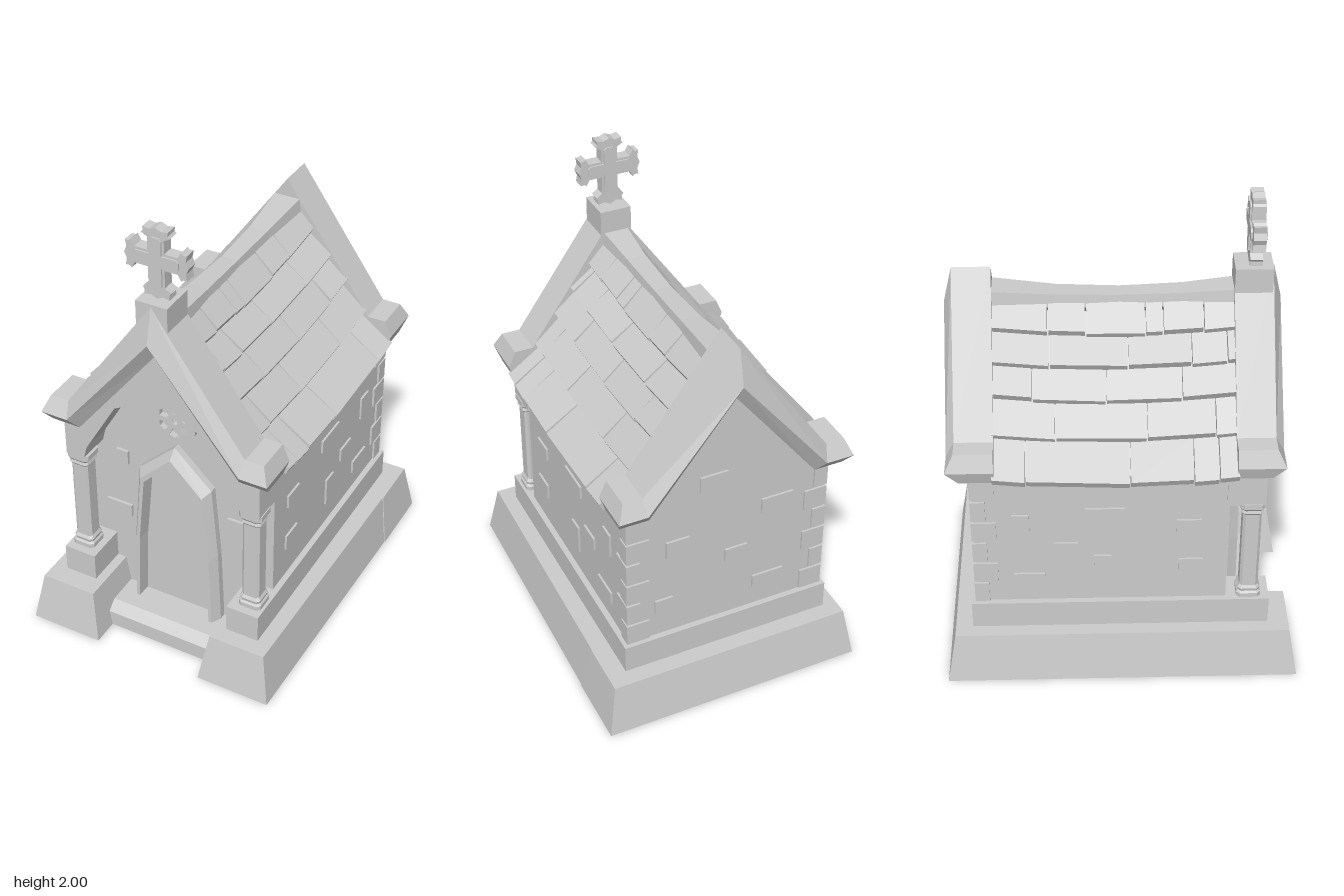
import * as THREE from 'three';

const CX = -0.013; // axis of the building above its base
const material = new THREE.MeshStandardMaterial({ color: 0xcccccc, flatShading: true });

function add(parent, name, geometry) {
  const mesh = new THREE.Mesh(geometry, material);
  mesh.name = name;
  parent.add(mesh);
  return mesh;
}

function box(parent, name, w, h, d, x, y, z) {
  const mesh = add(parent, name, new THREE.BoxGeometry(w, h, d));
  mesh.position.set(x, y, z);
}

// Solid skin over a row of matching rings of [x, y, z], closed at both ends
function loft(rings) {
  const n = rings[0].length, index = [];
  const p = rings.flat();
  for (let s = 0; s < rings.length - 1; s++) {
    for (let i = 0; i < n; i++) {
      const a = s * n + i, b = s * n + (i + 1) % n;
      index.push(a, b, b + n, a, b + n, a + n);
    }
  }
  const last = (rings.length - 1) * n;
  for (let i = 1; i < n - 1; i++) index.push(0, i + 1, i, last, last + i, last + i + 1);
  // turn the faces outward if the rings run the other way
  const [a, b, c] = [0, 1, 2].map(() => new THREE.Vector3());
  let volume = 0;
  for (let i = 0; i < index.length; i += 3) {
    a.fromArray(p[index[i]]); b.fromArray(p[index[i + 1]]); c.fromArray(p[index[i + 2]]);
    volume += a.dot(b.cross(c));
  }
  if (volume < 0) index.reverse();
  const g = new THREE.BufferGeometry();
  g.setAttribute('position', new THREE.Float32BufferAttribute(p.flat(), 3));
  g.setIndex(index);
  const flat = g.toNonIndexed();
  flat.computeVertexNormals();
  return flat;
}

// Battered block of the base; the front end of its outer side may be drawn in
function battered(x0, x1, z0, z1, x1Front = x1) {
  const ring = (y, k) => [[x0 + k, y, z0 + k], [x1 - k, y, z0 + k], [x1Front - k, y, z1 - k], [x0 + k, y, z1 - k]];
  return loft([ring(0, 0), ring(0.22, 0.038)]);
}

function slab(points, z0, z1, holes = []) {
  const shape = new THREE.Shape(points.map(([x, y]) => new THREE.Vector2(x, y)));
  shape.holes = holes;
  return new THREE.ExtrudeGeometry(shape, { depth: z1 - z0, bevelEnabled: false }).translate(0, 0, z0);
}

const mirrored = (half) => [...half, ...half.filter(([x]) => x > 0).reverse().map(([x, y]) => [-x, y])];

// Gable coping: a pointed-nose section swept over the gable with level kneelers at the eaves
function coping() {
  const group = new THREE.Group();
  group.name = 'gableCoping';
  const zs = [0.45, 0.45, 0.605, 0.64, 0.59, 0.45];
  const section = (top, mid, low) => [mid, top, top, mid, low, low].map(([x, y], i) => [x, y, zs[i]]);
  const apex = section([0, 1.69], [0, 1.54], [0, 1.46]);
  const kink = section([0.395, 1.13], [0.385, 1.06], [0.36, 1.0]);
  const end = section([0.475, 1.13], [0.505, 1.06], [0.485, 1.0]);
  const flip = (ring) => ring.map(([x, y, z]) => [-x, y, z]);
  add(group, 'copingStone', loft([flip(end), flip(kink), apex, kink, end]));
  add(group, 'copingBand', slab([[0.4, 1.0], [0, 1.5], [-0.4, 1.0], [-0.34, 1.0], [0, 1.39], [0.34, 1.0]], 0.45, 0.59));
  return group;
}

function buildRoof(parent) {
  const roof = new THREE.Group();
  roof.name = 'roof';
  parent.add(roof);
  const sag = (z) => -0.032 * (1 - (z / 0.5) ** 2);
  // ridge cap, narrowest and lowest in the middle
  add(roof, 'ridgeCap', loft([-0.52, -0.25, 0, 0.25, 0.47].map((z) => {
    const w = 0.036 + 0.08 * z * z, y = 1.607 + sag(z);
    return [[-w, y, z], [w, y, z], [w + 0.008, y - 0.055, z], [0, y - 0.1, z], [-w - 0.008, y - 0.055, z]];
  })));
  // courses of slabs, with the joints of each course along z
  const xs = [0.045, 0.115, 0.2, 0.277, 0.37, 0.497];
  const ys = [1.57, 1.455, 1.355, 1.245, 1.125, 1.0];
  const joints = [
    [0.33, 0.17, 0.1, -0.135, -0.285], [0.42, 0.28, 0.03, -0.28], [0.24, -0.06, -0.35],
    [0.37, 0.1, -0.26], [0.38, 0.28, 0.03, -0.38],
  ];
  for (const side of [-1, 1]) {
    joints.forEach((cuts, r) => {
      const zs = [0.46, ...cuts, -0.515];
      for (let k = 0; k < zs.length - 1; k++) {
        const lift = 0.005 * ((k * 2 + r) % 3 - 1);
        const ring = (z) => [
          [xs[r] - 0.01, ys[r] + 0.012], [xs[r + 1] + 0.012, ys[r + 1] + 0.033 + lift],
          [xs[r + 1] - 0.005, ys[r + 1] + lift], [xs[r] - 0.03, ys[r] - 0.03],
        ].map(([x, y]) => [side * x, y + sag(z), z]);
        add(roof, 'roofSlab', loft([ring(zs[k] - 0.003), ring(zs[k + 1] + 0.003)]));
      }
    });
  }
}

function buildCross(parent) {
  const cross = new THREE.Group();
  cross.name = 'finialCross';
  cross.position.set(0, 1.865, 0.53);
  parent.add(cross);
  const outline = (half) => {
    const arm = [...half, ...half.slice(0, -1).reverse().map(([u, v]) => [u, -v])];
    const pts = [];
    for (let q = 0; q < 4; q++) {
      const c = Math.round(Math.cos(q * Math.PI / 2)), s = Math.round(Math.sin(q * Math.PI / 2));
      for (const [u, v] of arm) {
        const k = q === 3 && u > 0.05 ? 1.22 : 1; // longer foot
        pts.push([c * u * k - s * v, s * u * k + c * v]);
      }
    }
    return pts;
  };
  add(cross, 'crossBody', slab(outline([[0.035, -0.035], [0.09, -0.035], [0.104, -0.06], [0.113, -0.052], [0.129, -0.053], [0.124, -0.025], [0.135, 0]]), -0.025, 0.025));
  add(cross, 'crossInlay', slab(outline([[0.025, -0.025], [0.086, -0.025], [0.096, -0.015], [0.096, 0]]), -0.032, 0.032));
}

export function createModel() {
  const model = new THREE.Group();
  model.name = 'stoneMausoleum';

  // battered base, open in the middle underneath and notched at the doorway
  const base = new THREE.Group();
  base.name = 'base';
  model.add(base);
  add(base, 'baseSide', battered(-0.57, -0.25, -0.735, 0.735));
  add(base, 'baseSide', battered(0.225, 0.565, -0.735, 0.72, 0.548));
  add(base, 'baseBack', battered(-0.57, 0.565, -0.735, -0.42));
  const stepRing = (y, z) => [[-0.28, y, 0.4], [0.255, y, 0.4], [0.255, y, z], [-0.28, y, z]];
  add(base, 'doorStep', loft([stepRing(0, 0.62), stepRing(0.07, 0.62), stepRing(0.1, 0.57)]));

  const chapel = new THREE.Group();
  chapel.name = 'chapel';
  chapel.position.x = CX;
  model.add(chapel);

  // walls, plinth and the front gable with its arch
  box(chapel, 'plinthBack', 0.92, 0.125, 0.16, 0, 0.2825, -0.545);
  add(chapel, 'walls', slab([[-0.435, 0.1], [0.435, 0.1], [0.435, 0.985], [0, 1.48], [-0.435, 0.985]], -0.6, 0.43));
  add(chapel, 'frontGable', slab([[0.36, 0.83], [0.443, 0.83], [0.443, 1.0], [0, 1.53], [-0.443, 1.0], [-0.443, 0.83],
    [-0.36, 0.83], [-0.345, 0.89], [-0.2, 1.14], [0, 1.25], [0.2, 1.14], [0.345, 0.89]], 0.42, 0.575));

  // square columns with chamfered corners, as [half width, height]
  const column = [[0.05, 0], [0.05, 0.02], [0.043, 0.028], [0.046, 0.042], [0.038, 0.055], [0.038, 0.43],
    [0.045, 0.44], [0.041, 0.452], [0.05, 0.465], [0.05, 0.49]];
  const columnRings = column.map(([r, y]) => [[1, 0.72], [0.72, 1], [-0.72, 1], [-1, 0.72], [-1, -0.72], [-0.72, -1], [0.72, -1], [1, -0.72]]
    .map(([x, z]) => [x * r, y, z * r]));
  // side stones as [z, y, depth, height]
  const sideStones = [[-0.07, 0.795, 0.16, 0.06], [0.27, 0.73, 0.1, 0.06], [-0.08, 0.515, 0.07, 0.13],
    [0.28, 0.52, 0.1, 0.07], [-0.23, 0.62, 0.1, 0.06], [-0.41, 0.74, 0.07, 0.11], [-0.38, 0.46, 0.13, 0.06]];
  for (const side of [-1, 1]) {
    box(chapel, 'plinthSide', 0.145, 0.125, 1.235, side * 0.3875, 0.2825, -0.0075);
    add(chapel, 'column', loft(columnRings)).position.set(side * 0.397, 0.345, 0.525);
    for (const [z, y, d, h] of sideStones) box(chapel, 'sideStone', 0.03, h, d, side * 0.429, y, z);
    // alternating corner stones at the back
    for (let i = 0; i < 6; i++) {
      const long = i % 2 ? 0.1 : 0.06, wide = i % 2 ? 0.06 : 0.1;
      box(chapel, 'cornerStone', wide, 0.095, long, side * (0.444 - wide / 2), 0.395 + i * 0.106, -0.609 + long / 2);
    }
  }

  // stones on the front and back as [x, y, width, height]
  for (const [x, y, w, h] of [[-0.262, 0.785, 0.055, 0.065], [-0.287, 0.505, 0.12, 0.057], [0.205, 0.905, 0.05, 0.105], [0.27, 0.617, 0.08, 0.065]])
    box(chapel, 'frontStone', w, h, 0.03, x, y, 0.428);
  for (const [x, y, w, h] of [[0.065, 1.06, 0.12, 0.07], [-0.04, 0.66, 0.1, 0.06], [0.28, 0.5, 0.08, 0.06], [-0.19, 0.47, 0.14, 0.06],
    [0.22, 0.78, 0.1, 0.08], [-0.22, 0.86, 0.14, 0.07]])
    box(chapel, 'backStone', w, h, 0.03, x, y, -0.595);

  // door and its pointed surround, as [outer x, inner x, outer y, inner y]
  add(chapel, 'door', slab(mirrored([[0, 0.87], [0.122, 0.74], [0.155, 0.4], [0.165, 0.1]]).reverse(), 0.42, 0.438));
  const jamb = [[0.207, 0.165, 0.1, 0.1], [0.195, 0.152, 0.45, 0.43], [0.167, 0.122, 0.78, 0.74]];
  const surround = [...jamb.map(([o, i, ...y]) => [-o, -i, ...y]), [0, 0, 0.94, 0.87], ...jamb.reverse()];
  add(chapel, 'doorSurround', loft(surround.map(([xo, xi, yo, yi]) =>
    [[0, 0.41], [0, 0.46], [0.55, 0.5], [0.9, 0.5], [1, 0.41]].map(([t, z]) => [xo + (xi - xo) * t, yo + (yi - yo) * t, z]))));

  // rosette above the door: hub, six spokes and rim
  const polar = (r, a) => new THREE.Vector2(r * Math.cos(a), r * Math.sin(a));
  const circle = (r, n) => Array.from({ length: n }, (_, i) => polar(r, i * 2 * Math.PI / n));
  const holes = [new THREE.Path(circle(0.014, 6))];
  for (let i = 0; i < 6; i++) {
    const a = (i + 0.5) * Math.PI / 3;
    holes.push(new THREE.Path([polar(0.037, a - 0.22), polar(0.07, a - 0.36), polar(0.078, a), polar(0.07, a + 0.36), polar(0.037, a + 0.22)]));
  }
  const rosette = add(chapel, 'rosette', slab(circle(0.097, 16).map((v) => [v.x, v.y]), 0.42, 0.455, holes));
  rosette.position.y = 1.065;

  // roof between two copings, with the cross on the front one
  buildRoof(chapel);
  chapel.add(coping());
  const back = coping();
  back.rotation.y = Math.PI;
  back.position.z = -0.053;
  chapel.add(back);
  box(chapel, 'crossPedestal', 0.135, 0.17, 0.15, 0, 1.615, 0.525);
  buildCross(chapel);
  return model;
}
